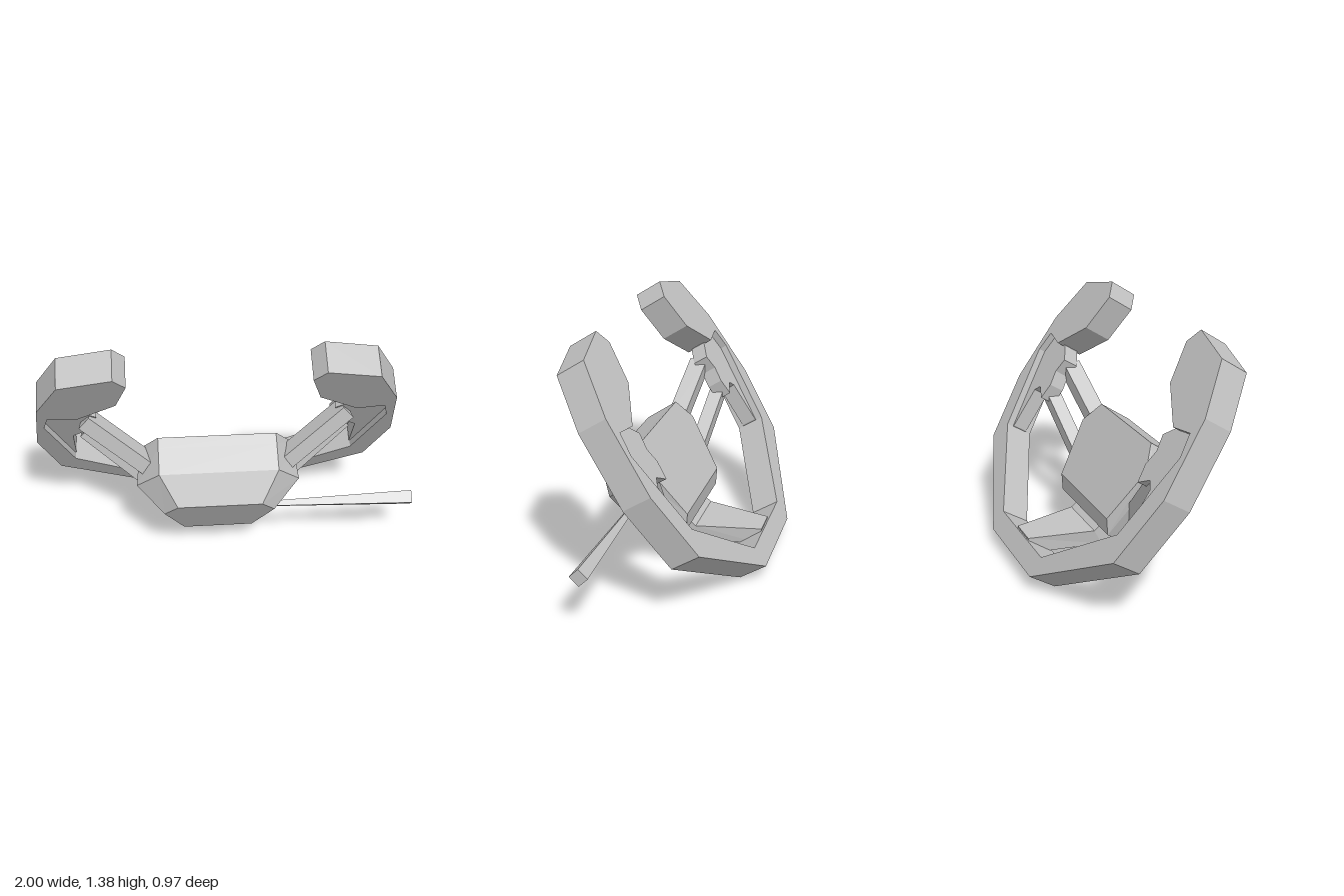
import * as THREE from 'three';

const CX = -0.05;        // wheel's middle in x
const COS = 0.841;       // wheel tilt
const TILT = Math.acos(COS);

// closed solid through rings of [x, y, z], each counter-clockwise seen from its far end
function loft(rings) {
  const n = rings[0].length, index = [];
  for (let r = 0; r < rings.length - 1; r++) {
    for (let i = 0; i < n; i++) {
      const a = r * n + i, b = r * n + (i + 1) % n;
      index.push(a, b, b + n, a, b + n, a + n);
    }
  }
  const end = (rings.length - 1) * n;
  for (let i = 1; i < n - 1; i++) {
    index.push(0, i + 1, i, end, end + i, end + i + 1);
  }
  const g = new THREE.BufferGeometry();
  g.setAttribute('position', new THREE.Float32BufferAttribute(rings.flat(2), 3));
  g.setIndex(index);
  const flat = g.toNonIndexed();
  flat.computeVertexNormals();
  return flat;
}

// plate in the wheel plane between two depths
function slab(points, back, front) {
  const shape = new THREE.Shape(points.map(([x, y]) => new THREE.Vector2(x, y)));
  const g = new THREE.ExtrudeGeometry(shape, { depth: front - back, bevelEnabled: false });
  return g.translate(0, 0, back);
}

// square-cut bar between two points, its depth kept close to z
function bar(from, to, width, depth) {
  const a = new THREE.Vector3(...from), b = new THREE.Vector3(...to);
  const d = b.clone().sub(a), len = d.length();
  d.normalize();
  const z = new THREE.Vector3(0, 0, 1).addScaledVector(d, -d.z).normalize();
  const x = new THREE.Vector3().crossVectors(d, z);
  const g = new THREE.BoxGeometry(width, len, depth);
  g.applyMatrix4(new THREE.Matrix4().makeBasis(x, d, z));
  const mid = a.add(b).multiplyScalar(0.5);
  return g.translate(mid.x, mid.y, mid.z);
}

export function createModel() {
  const grey = new THREE.MeshStandardMaterial({ color: 0xc2c2c2, flatShading: true });
  grey.name = 'grey';
  const model = new THREE.Group();
  model.name = 'steeringWheel';
  const add = (parent, geometry, name) => {
    const mesh = new THREE.Mesh(geometry, grey);
    mesh.name = name;
    parent.add(mesh);
    return mesh;
  };

  // tilted frame: origin at the lower front edge of the rim
  const wheel = new THREE.Group();
  wheel.name = 'tiltedWheel';
  wheel.rotation.x = TILT;
  wheel.position.set(CX, 0, -0.345);
  model.add(wheel);

  // open rim with broad grips at its two ends (half outline: outer edge, then inner edge)
  const half = [
    [0.29, 0], [0.86, 0.325], [0.95, 0.65], [0.905, 1.0], [0.78, 1.23], [0.51, 1.29],
    [0.45, 1.22], [0.51, 1.04], [0.72, 0.9], [0.86, 0.92], [0.89, 0.82], [0.77, 0.42], [0.29, 0.1],
  ].map(([x, y]) => [x, y / COS]);
  const mirrored = half.map(([x, y]) => [-x, y]).reverse();
  add(wheel, slab([...half, ...mirrored], -0.165, 0), 'rim');

  // recessed side plates that carry the spokes
  const plate = [
    [0.8, 0.41], [0.92, 0.8], [0.9, 0.95], [0.7, 0.93], [0.62, 0.87], [0.645, 0.8],
    [0.62, 0.73], [0.64, 0.65], [0.72, 0.69], [0.76, 0.66], [0.765, 0.45],
  ].map(([x, y]) => [x, (y - 0.022) / COS]);

  for (const [side, s] of [['left', 1], ['right', -1]]) {
    const pts = plate.map(([x, y]) => [s * x, y]);
    add(wheel, slab(pts, -0.125, -0.035), side + 'SpokePlate');
    add(model, bar([CX + s * 0.68, 0.85, 0.155], [CX + s * 0.34, 0.56, 0.215], 0.085, 0.1),
      side + 'UpperSpoke');
    add(model, bar([CX + s * 0.69, 0.7, 0.035], [CX + s * 0.31, 0.34, 0.1], 0.075, 0.08),
      side + 'LowerSpoke');
  }

  // faceted hub: depth, then half width and height of bottom, shoulder and top
  const hubRings = [
    [0.055, 0.31, 0.448, 0.405, 0.77, 0.31, 0.909],
    [0.113, 0.31, 0.37, 0.415, 0.765, 0.31, 0.907],
    [0.258, 0.29, 0.363, 0.43, 0.75, 0.31, 0.903],
    [0.411, 0.185, 0.456, 0.29, 0.716, 0.22, 0.812],
  ].map(([n, bw, bv, sw, sv, tw, tv]) => [
    [-bw, bv, n], [bw, bv, n], [sw, sv, n], [tw, tv, n], [-tw, tv, n], [-sw, sv, n],
  ]);
  add(wheel, loft(hubRings), 'hub');

  // bent lower spoke, narrowing toward the rim: half width, low y, low z, high y, high z
  const spokeRings = [
    [0.08, 0.105, -0.4, 0.195, -0.41],
    [0.16, 0.12, -0.015, 0.205, -0.06],
    [0.16, 0.18, 0.08, 0.27, 0.02],
  ].map(([w, y0, z0, y1, z1]) => [
    [CX - w, y0, z0], [CX + w, y0, z0], [CX + w, y1, z1], [CX - w, y1, z1],
  ]);
  add(model, loft(spokeRings), 'bottomSpoke');

  // control stalk: four-sided, thicker at its tip
  const stalk = new THREE.CylinderGeometry(0.048, 0.018, 0.8, 4);
  stalk.rotateZ(-Math.PI / 2);
  add(model, stalk, 'stalk').position.set(0.6, 0.318, 0.27);

  return model;
}
